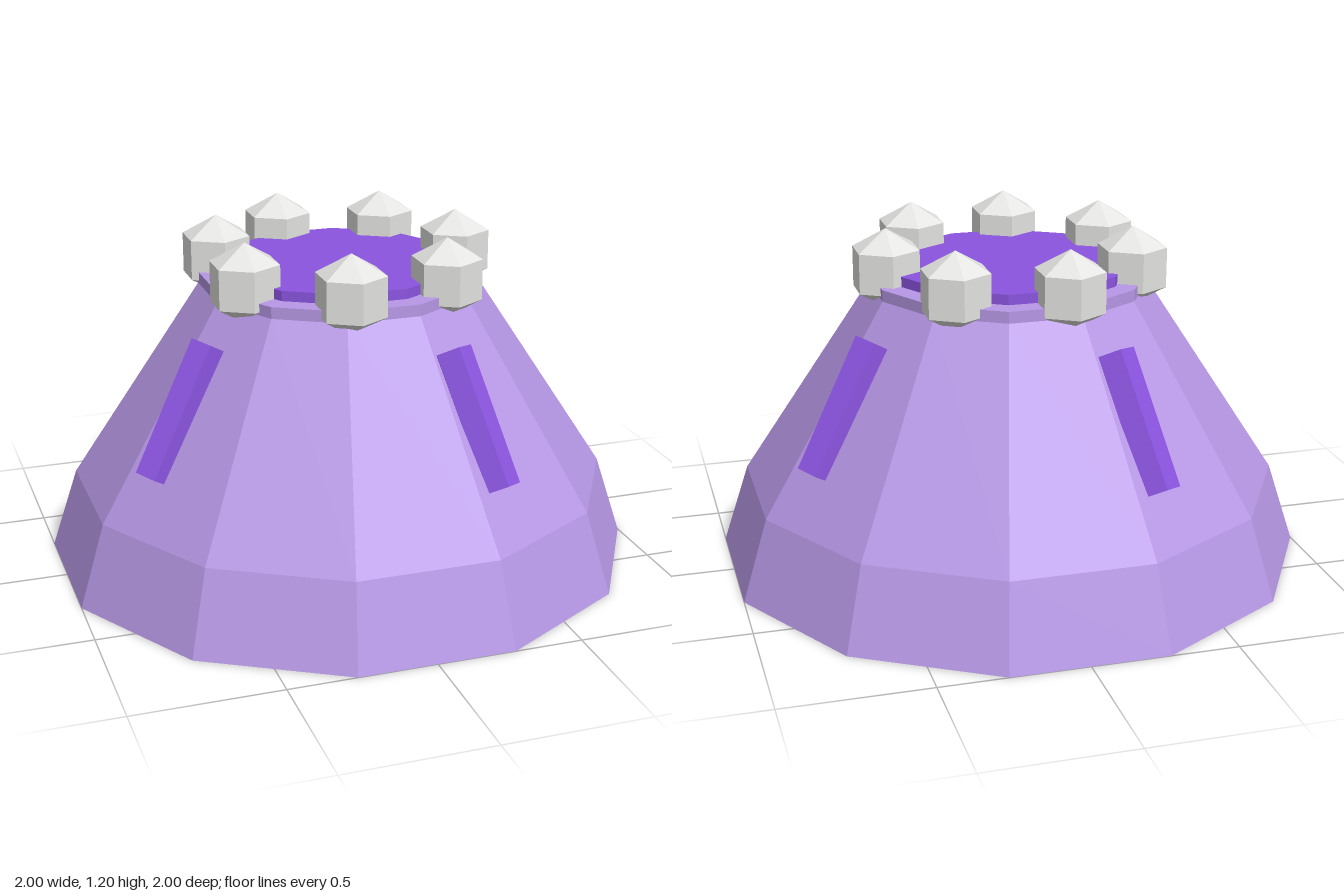
import * as THREE from 'three';

const SIDES = 12;
const TO_CORNER = 1 / Math.cos(Math.PI / SIDES); // flat-to-centre distance -> corner radius

// Faceted copy of a geometry: every face gets its own normal
function faceted(geometry) {
  const flat = geometry.index ? geometry.toNonIndexed() : geometry;
  flat.computeVertexNormals();
  return flat;
}

export function createModel() {
  const model = new THREE.Group();
  model.name = 'barnacleMound';

  const lilac = new THREE.MeshStandardMaterial({ color: 0xb798e6 });
  lilac.name = 'lilac shell';
  const purple = new THREE.MeshStandardMaterial({ color: 0x8b54e0 });
  purple.name = 'deep purple';
  const stone = new THREE.MeshStandardMaterial({ color: 0xe4e4e2 });
  stone.name = 'pale grey';

  const add = (name, geometry, material, parent = model) => {
    const mesh = new THREE.Mesh(geometry, material);
    mesh.name = name;
    parent.add(mesh);
    return mesh;
  };

  // Twelve-sided mound with a short upright lip
  const profile = [[0, 0], [1, 0], [0.91, 0.285], [0.47, 0.98], [0.47, 1.02], [0, 1.02]]
    .map(([r, y]) => new THREE.Vector2(r * TO_CORNER, y));
  const shell = new THREE.LatheGeometry(profile, SIDES).rotateY(Math.PI / SIDES);
  add('shell', faceted(shell), lilac);

  // Raised disc filling the opening
  const disc = new THREE.CylinderGeometry(0.4 * TO_CORNER, 0.4 * TO_CORNER, 0.045, SIDES)
    .rotateY(Math.PI / SIDES).translate(0, 1.0325, 0);
  add('topDisc', faceted(disc), purple);

  // Seven hexagonal pebbles around the rim
  const pebble = faceted(new THREE.SphereGeometry(0.139, 6, 3).rotateY(Math.PI / 6));
  for (let i = 0; i < 7; i++) {
    const a = (i / 7) * Math.PI * 2;
    add('rimPebble', pebble, stone).position.set(0.43 * Math.cos(a), 1.06, 0.43 * Math.sin(a));
  }

  // Four five-sided ridges lying on the slope
  const ridge = faceted(new THREE.CylinderGeometry(0.067, 0.067, 0.478, 5)
    .rotateY(-Math.PI / 10)
    .rotateX(-0.53)
    .translate(0, 0.661, 0.686));
  for (let i = 0; i < 4; i++) {
    add('slopeRidge', ridge, purple).rotation.y = Math.PI / 8 + (i * Math.PI) / 2;
  }

  return model;
}
